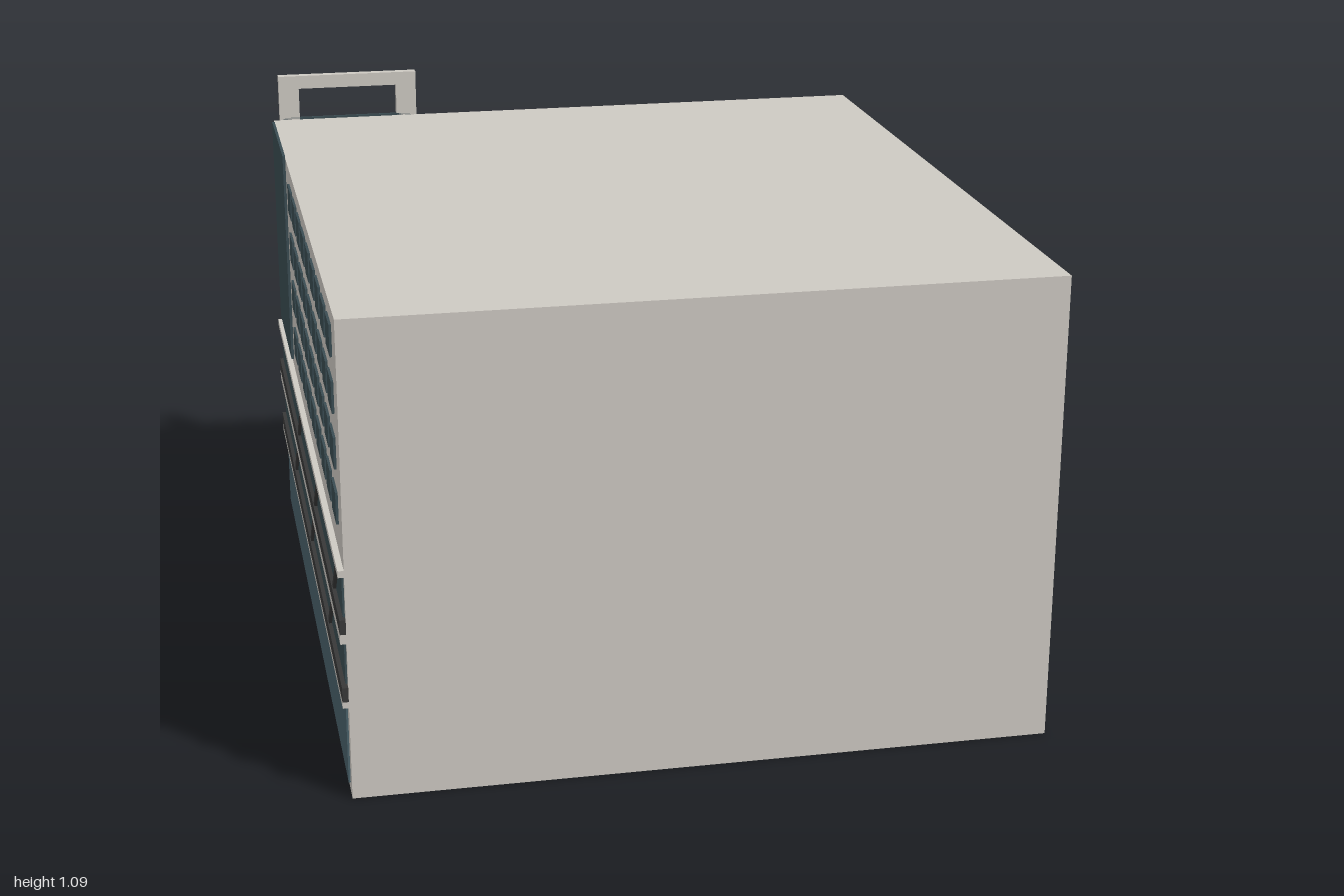
import * as THREE from 'three';

const WIDTH = 1.42, DEPTH = 1.605, HEIGHT = 0.98;

export function createModel() {
  const model = new THREE.Group();
  model.name = 'officeBuilding';

  const material = (color) => new THREE.MeshStandardMaterial({ color, flatShading: true });
  const wall = material(0xcdc9c2);
  const glass = material(0x3a4c52);
  const shopGlass = material(0x4a616a);
  const dark = material(0x383838);

  // Main block, turned about the vertical axis
  const building = new THREE.Group();
  building.name = 'building';
  building.position.set(0.004, 0, 0);
  building.rotation.y = -0.325;
  model.add(building);
  const block = new THREE.Mesh(new THREE.BoxGeometry(WIDTH, HEIGHT, DEPTH), wall);
  block.name = 'mainBlock';
  block.position.y = HEIGHT / 2;
  building.add(block);

  // One decorated facade; u runs from the shared corner along the wall
  function facade({ name, turn, dir, length, out, tower, columns, first, step, windowWidth, struts, lean }) {
    const group = new THREE.Group();
    group.name = name;
    group.position.set(-WIDTH / 2, 0, -DEPTH / 2);
    group.rotation.y = turn;
    building.add(group);

    const panel = (partName, u0, u1, y0, y1, depth, mat) => {
      const mesh = new THREE.Mesh(new THREE.BoxGeometry(u1 - u0, y1 - y0, depth), mat);
      mesh.name = partName;
      mesh.position.set(dir * (u0 + u1) / 2, (y0 + y1) / 2, depth / 2);
      group.add(mesh);
    };

    // Tall corner glazing
    panel('cornerGlazing', tower[0], tower[1], 0.5, 0.985, 0.006, glass);

    // Grid of upper windows
    for (let row = 0; row < 4; row++) {
      for (let col = 0; col < columns; col++) {
        const u = first + col * step, y = 0.58 + row * 0.112;
        panel('window', u - windowWidth / 2, u + windowWidth / 2, y - 0.032, y + 0.032, 0.005, glass);
      }
    }

    // Lower glazing strips and shop front
    panel('upperStripGlazing', 0.02, length - 0.015, 0.38, 0.468, 0.004, glass);
    panel('lowerStripGlazing', 0.02, length - 0.015, 0.24, 0.33, 0.004, glass);
    panel('shopFront', 0.045, length - 0.03, 0.02, 0.193, 0.004, shopGlass);

    // Ledges and dark bands
    panel('topLedge', 0.01, length, 0.468, 0.482, out, wall);
    for (const [y0, y1, y2] of [[0.33, 0.35, 0.38], [0.195, 0.208, 0.238]]) {
      panel('ledge', 0.01, length, y0, y1, out, wall);
      panel('darkBand', 0.01, length, y1, y2, out, dark);
    }

    // Slanted struts across the glazing strips
    for (const u of struts) {
      const dx = dir * lean, dy = 0.225;
      const strut = new THREE.Mesh(new THREE.BoxGeometry(Math.hypot(dx, dy), 0.013, out - 0.002), dark);
      strut.name = 'strut';
      strut.position.set(dir * u + dx / 2, 0.238 + dy / 2, (out - 0.002) / 2);
      strut.rotation.z = Math.atan2(dy, dx);
      group.add(strut);
    }
    return { group, panel };
  }

  const back = facade({
    name: 'backFacade', turn: Math.PI, dir: -1, length: WIDTH, out: 0.017,
    tower: [0.02, 0.33], columns: 6, first: 0.475, step: 0.163, windowWidth: 0.1,
    struts: [0.685, 1.3], lean: -0.24,
  });
  facade({
    name: 'rightFacade', turn: -Math.PI / 2, dir: 1, length: DEPTH, out: 0.012,
    tower: [0.035, 0.38], columns: 9, first: 0.53, step: 0.12, windowWidth: 0.085,
    struts: [0.41, 0.85, 1.29], lean: 0.24,
  });

  // Entrance door near the corner
  back.panel('door', 0.025, 0.33, 0.01, 0.163, 0.008, glass);

  // Roof portal: two short legs and a crossbar
  const portal = new THREE.Shape([
    [-0.345, 0.955], [-0.297, 0.955], [-0.297, 1.055], [-0.063, 1.055],
    [-0.063, 0.955], [-0.015, 0.955], [-0.015, 1.086], [-0.345, 1.086],
  ].map(([x, y]) => new THREE.Vector2(x, y)));
  const frame = new THREE.Mesh(new THREE.ExtrudeGeometry(portal, { depth: 0.021, bevelEnabled: false }), wall);
  frame.name = 'roofPortal';
  back.group.add(frame);

  return model;
}
